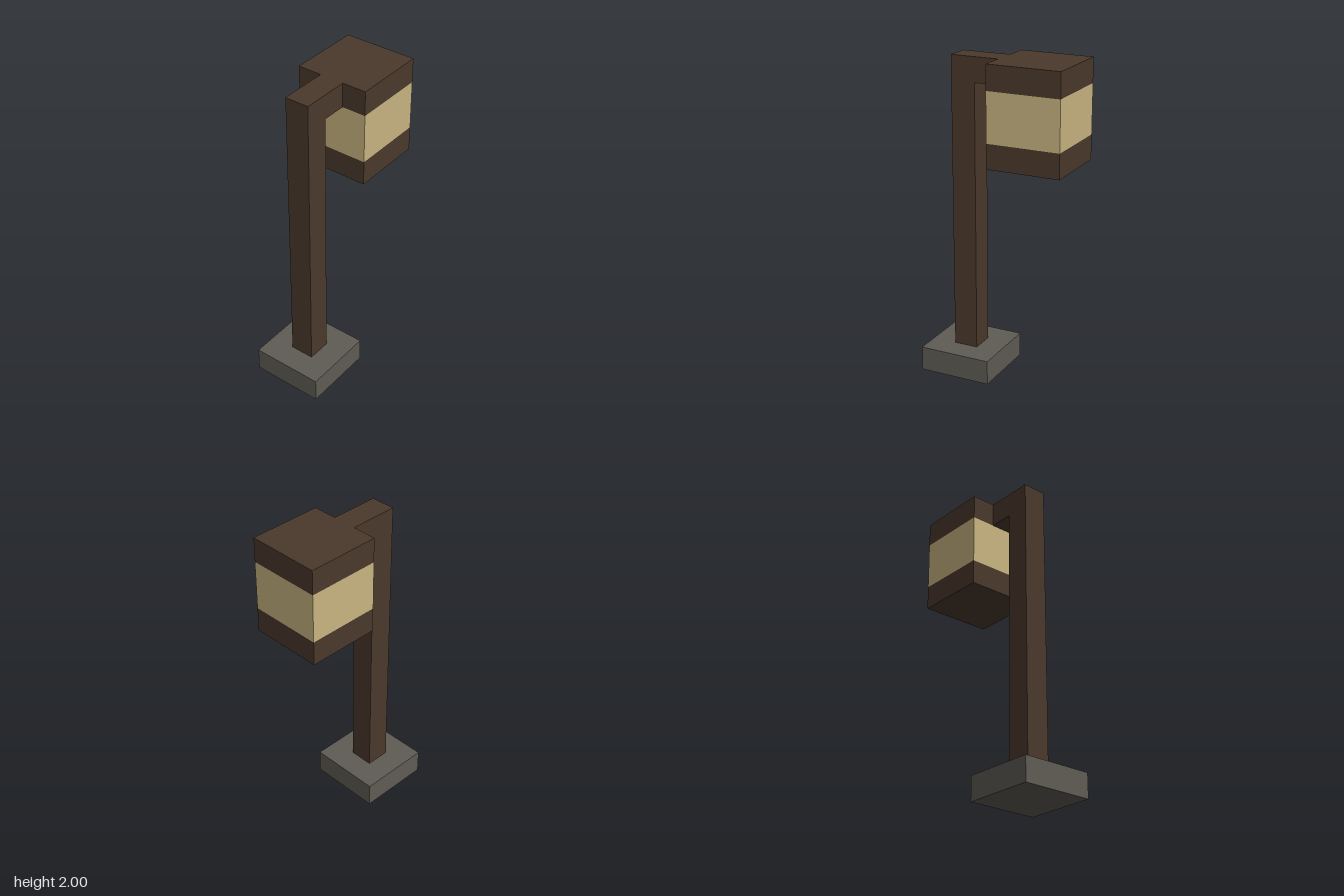
import * as THREE from 'three';

const U = 2 / 13; // one module: the lamp stands 13 modules tall

export function createModel() {
  const wood = new THREE.MeshStandardMaterial({ color: 0x4b392c });
  wood.name = 'dark wood';
  const stone = new THREE.MeshStandardMaterial({ color: 0x5f5c54 });
  stone.name = 'grey stone';
  const glass = new THREE.MeshStandardMaterial({ color: 0xc9b581 });
  glass.name = 'warm glass';

  const lamp = new THREE.Group();
  lamp.name = 'streetLamp';

  // Square block, sized in modules, resting at height y
  const block = (name, material, x, y, width, height) => {
    const geometry = new THREE.BoxGeometry(width * U, height * U, width * U);
    const mesh = new THREE.Mesh(geometry, material);
    mesh.name = name;
    mesh.position.set(x * U, (y + height / 2) * U, 0);
    lamp.add(mesh);
  };

  // Foot
  block('base', stone, -1.5, 0, 3, 1);

  // Post and arm in one L-shaped piece
  const outline = [[-2, 1], [-1, 1], [-1, 12], [0, 12], [0, 13], [-2, 13]];
  const shape = new THREE.Shape(outline.map(([x, y]) => new THREE.Vector2(x * U, y * U)));
  const postGeometry = new THREE.ExtrudeGeometry(shape, { depth: U, bevelEnabled: false });
  postGeometry.translate(0, 0, -U / 2);
  const post = new THREE.Mesh(postGeometry, wood);
  post.name = 'postAndArm';
  lamp.add(post);

  // Lantern
  block('lanternBottom', wood, 1.5, 9, 3, 1);
  block('lanternGlass', glass, 1.5, 10, 3, 2);
  block('lanternTop', wood, 1.5, 12, 3, 1);

  return lamp;
}
